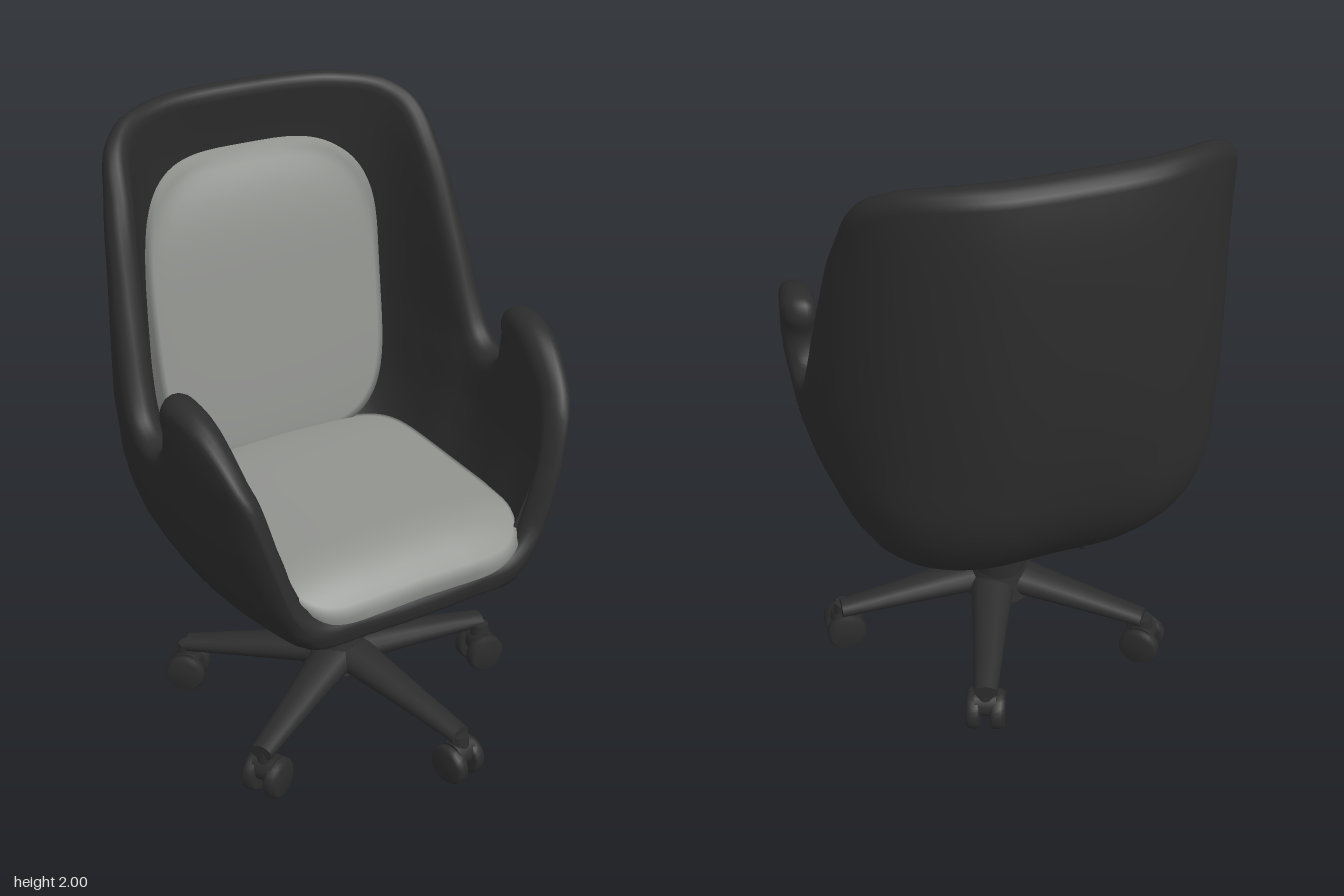
import * as THREE from 'three';

const dark = new THREE.MeshStandardMaterial({ color: 0x2c2c2c });
dark.name = 'charcoal';
const grey = new THREE.MeshStandardMaterial({ color: 0x91938f });
grey.name = 'cushion grey';

const { lerp, clamp, smoothstep, degToRad } = THREE.MathUtils;
const V = (x, y, z = 0) => new THREE.Vector3(x, y, z);

function addMesh(parent, name, geometry, material, x = 0, y = 0, z = 0) {
  const mesh = new THREE.Mesh(geometry, material);
  mesh.name = name;
  mesh.position.set(x, y, z);
  parent.add(mesh);
  return mesh;
}

// Surface from rows of closed loops
function loft(rows, cols, point) {
  const pos = [], index = [];
  for (let r = 0; r < rows; r++) {
    for (let c = 0; c < cols; c++) {
      pos.push(...point(r, c));
      if (r === rows - 1) continue;
      const a = r * cols + c, b = r * cols + (c + 1) % cols;
      index.push(a, a + cols, b, b, a + cols, b + cols);
    }
  }
  const g = new THREE.BufferGeometry();
  g.setAttribute('position', new THREE.Float32BufferAttribute(pos, 3));
  g.setIndex(index);
  g.computeVertexNormals();
  return g;
}

// Bucket size by height: y, half width, back z, front z
const ZC = -0.05;
const sizes = [
  [0.553, 0.2, -0.16, 0.24], [0.57, 0.29, -0.24, 0.38], [0.6, 0.38, -0.315, 0.475],
  [0.65, 0.458, -0.395, 0.535], [0.7, 0.505, -0.448, 0.546], [0.8, 0.56, -0.527, 0.548],
  [0.9, 0.595, -0.578, 0.548], [1, 0.62, -0.61, 0.548], [1.2, 0.645, -0.637, 0.548],
  [1.4, 0.64, -0.642, 0.548], [1.6, 0.635, -0.637, 0.548], [1.8, 0.638, -0.625, 0.548],
  [1.9, 0.655, -0.612, 0.548], [2, 0.67, -0.585, 0.548],
];
function sizeAt(y) {
  let i = 0;
  while (i < sizes.length - 2 && y > sizes[i + 1][0]) i++;
  const a = sizes[i], b = sizes[i + 1];
  const t = clamp((y - a[0]) / (b[0] - a[0]), 0, 1);
  return a.map((v, k) => lerp(v, b[k], t));
}

// Horizontal section of the bucket: round back, flatter front; q runs 0..20 around it
const half = [[0, -1], [0.39, -0.95], [0.72, -0.72], [0.925, -0.38], [1, 0], [0.99, 0.4],
  [0.93, 0.7], [0.84, 0.92], [0.75, 0.985], [0.4, 1], [0, 1.01]];
const section = new THREE.CatmullRomCurve3(
  [...half, ...half.slice(1, -1).reverse().map(([x, z]) => [-x, z])].map(([x, z]) => V(x, 0, z)), true);
function wall(q, y, depth) {
  const p = section.getPoint((((q / 20) % 1) + 1) % 1);
  const [, w, zb, zf] = sizeAt(y);
  // rear corners are fuller near the bottom
  if (p.z < 0) p.multiplyScalar(1 + 0.09 * (2 * p.x * p.z) ** 2 * (1 - smoothstep(y, 0.7, 1.25)));
  return [p.x * (w - depth), y, ZC + p.z * ((p.z < 0 ? ZC - zb : zf - ZC) - depth)];
}

// Rim: q, height, q at the foot of the wall
const rimHalf = [
  [0, 2, 0], [0.7, 1.998, 0.7], [1.3, 1.992, 1.3], [2.03, 1.962, 2.03], [2.6, 1.885, 2.6], [3.1, 1.72, 3.1],
  [3.55, 1.48, 3.5], [3.9, 1.28, 3.85], [4.12, 1.2, 4.1], [4.46, 1.165, 4.4],
  [4.7, 1.19, 4.6], [4.8, 1.25, 4.75], [4.73, 1.31, 4.9], [4.8, 1.355, 5.05],
  [5, 1.377, 5.2], [5.62, 1.36, 5.65], [6.25, 1.295, 6.25], [6.86, 1.2, 6.86],
  [7.45, 1.08, 7.45], [7.85, 0.95, 7.85], [8.03, 0.82, 8.03], [8.3, 0.75, 8.3], [9, 0.73, 9], [10, 0.726, 10]];
const rim = new THREE.CatmullRomCurve3(
  [...rimHalf, ...rimHalf.slice(0, -1).reverse().map(([q, y, b]) => [20 - q, y, 20 - b])].map(p => V(...p)));

// Wall thickness factor: thinner at the rear corners and the front lip
function thinning(q) {
  const m = Math.min(q, 20 - q);
  return (1 - 0.3 * Math.exp(-((m - 2) ** 2))) * lerp(1, 0.6, smoothstep(m, 5.5, 7.8));
}

function shellGeometry() {
  const N = 240, OUT = 22, CAP = 9, IN = 14, FLOOR = 6, R = 0.045;
  const columns = [];
  for (let i = 0; i < N; i++) {
    const s = i / N, p = rim.getPoint(s);
    const d = rim.getPoint(Math.min(1, s + 0.003)).sub(rim.getPoint(Math.max(0, s - 0.003)));
    const t = new THREE.Vector2(d.x * 0.2, d.y).normalize();
    if (i === 0) t.set(1, 0);
    // rim point pulled back inside its edge
    const inset = k => [p.x + t.y * k / 0.2, p.y - t.x * k];
    columns.push({ inset, base: p.z, thick: 0.1 * thinning(p.z) });
  }
  return loft(1 + OUT + CAP + IN + FLOOR, N, (r, c) => {
    const { inset, base, thick } = columns[c];
    const [q1, y1] = inset(R);
    if (r === 0) return [0, 0.551, 0.03];
    r -= 1;
    if (r < OUT) {                       // outside, foot to rim
      const t = r / OUT;
      return wall(lerp(base, q1, t * t), lerp(0.553, y1, t ** 1.6), 0);
    }
    r -= OUT;
    if (r < CAP) {                       // rounded rim
      const a = Math.PI * r / (CAP - 1);
      const [q, y] = inset(R * (1 - Math.sin(a)));
      return wall(q, y, thick * (1 - Math.cos(a)) / 2);
    }
    r -= CAP;
    const yf = Math.min(0.76, y1 - 0.02);
    if (r < IN) {                        // inside, rim to floor
      const t = (r + 1) / IN;
      return wall(lerp(q1, base, 1 - (1 - t) ** 2), lerp(y1, yf, t), thick * lerp(1, 1.25, t));
    }
    const k = (r - IN + 1) / FLOOR;      // floor
    const [x, , z] = wall(base, yf, thick * 1.25);
    return [x * (1 - k), lerp(yf, 0.74, k), lerp(z, 0.1, k)];
  });
}

// Rounded pad outline, swept from its centre to its edge, then a skirt
function padGeometry(n, place) {
  const RINGS = 20, N = 96;
  const pow = v => Math.sign(v) * Math.abs(v) ** (2 / n);
  return loft(RINGS + 2, N, (r, c) => {
    const a = 2 * Math.PI * c / N, k = Math.min(1, r / RINGS);
    return place(pow(Math.cos(a)) * k, pow(Math.sin(a)) * k, k, r > RINGS);
  });
}

function backPad(u, v, k, skirt) {
  const x = 0.412 * u, y = 1.312 + 0.49 * v;
  const [, w, zb] = sizeAt(y);
  const across = Math.max(0, 1 - Math.abs(x / (w - 0.11)) ** 2.6) ** (1 / 2.6);
  const inner = ZC - (ZC - zb - 0.11) * across + 0.012;
  const face = -0.3 - 0.14 * Math.max(0, (y - 0.85) / 0.95) - 0.06 * Math.max(0, v) ** 4 - 0.01 * k ** 6;
  // smooth blend of the flat face into the curved wall
  const z = (face + inner + Math.hypot(face - inner, 0.02)) / 2;
  return [x, y, z - (skirt ? 0.09 : 0)];
}

function seatPad(u, v, k, skirt) {
  const s = skirt ? 0.92 : 1;
  const z = 0.11 - 0.445 * v;
  const drop = Math.max(0, (z - 0.33) / 0.225);
  const x = u * (0.43 - 0.04 * drop * drop);
  const y = 0.875 - 0.03 * u * u - 0.015 * k ** 6 - 0.105 * drop ** 2.5;
  return [x * s, y - (skirt ? 0.08 : 0), 0.11 + (z - 0.11) * s];
}

// Rounded square plate under the seat
function plateGeometry() {
  const h = 0.2, r = 0.11, shape = new THREE.Shape();
  [[1, 1, 0], [-1, 1, 1], [-1, -1, 2], [1, -1, 3]].forEach(([x, y, k]) =>
    shape.absarc(x * (h - r), y * (h - r), r, k * Math.PI / 2, (k + 1) * Math.PI / 2));
  return new THREE.ExtrudeGeometry(shape, {
    depth: 0.04, bevelThickness: 0.03, bevelSize: 0.035, bevelSegments: 4, curveSegments: 8,
  }).rotateX(-Math.PI / 2);
}

// Tapered leg along +z
function legGeometry() {
  const g = new THREE.CylinderGeometry(1, 1, 1, 16, 6).rotateX(Math.PI / 2);
  const p = g.attributes.position;
  for (let i = 0; i < p.count; i++) {
    const t = p.getZ(i) + 0.5;
    p.setXYZ(i, p.getX(i) * lerp(0.085, 0.038, t ** 0.7),
      lerp(0.228, 0.17, t) + p.getY(i) * lerp(0.055, 0.026, t), lerp(0.01, 0.535, t));
  }
  g.computeVertexNormals();
  return g;
}

function makeCaster() {
  const g = new THREE.Group();
  const profile = [[0, -0.023], [0.057, -0.023], [0.066, -0.015], [0.066, 0.01], [0.056, 0.023], [0, 0.025]]
    .map(([x, y]) => new THREE.Vector2(x, y));
  for (const side of [-1, 1]) {
    const wheel = new THREE.LatheGeometry(profile, 24).rotateZ(-side * Math.PI / 2);
    addMesh(g, 'wheel', wheel, dark, side * 0.04, 0.071, 0);
  }
  addMesh(g, 'casterHood', new THREE.CylinderGeometry(0.046, 0.046, 0.07, 20).rotateZ(Math.PI / 2), dark, 0, 0.1, 0);
  addMesh(g, 'casterStem', new THREE.CylinderGeometry(0.028, 0.036, 0.05, 16), dark, 0, 0.145, 0);
  return g;
}

export function createModel() {
  const model = new THREE.Group();
  model.name = 'officeChair';

  addMesh(model, 'bucketShell', shellGeometry(), dark);
  addMesh(model, 'backCushion', padGeometry(3.8, backPad), grey);
  addMesh(model, 'seatCushion', padGeometry(7, seatPad), grey);

  // Pedestal
  addMesh(model, 'seatPlate', plateGeometry(), dark, 0, 0.51, 0.035);
  addMesh(model, 'post', new THREE.CylinderGeometry(0.09, 0.09, 0.26, 32), dark, 0, 0.38, 0.035);
  addMesh(model, 'hub', new THREE.CylinderGeometry(0.092, 0.12, 0.105, 32), dark, 0, 0.23, 0.04);

  // Five legs with casters
  const casters = [[0.135, 0.573], [0.53, 0.13], [0.205, -0.405], [-0.4, -0.285], [-0.42, 0.33]];
  casters.forEach(([x, z], i) => {
    const angle = degToRad(13.5 + 72 * i);
    addMesh(model, 'leg', legGeometry(), dark, 0.01, 0, 0.06).rotation.y = angle;
    const caster = makeCaster();
    caster.name = 'caster';
    caster.position.set(x, 0, z);
    caster.rotation.y = angle;
    model.add(caster);
  });
  return model;
}
